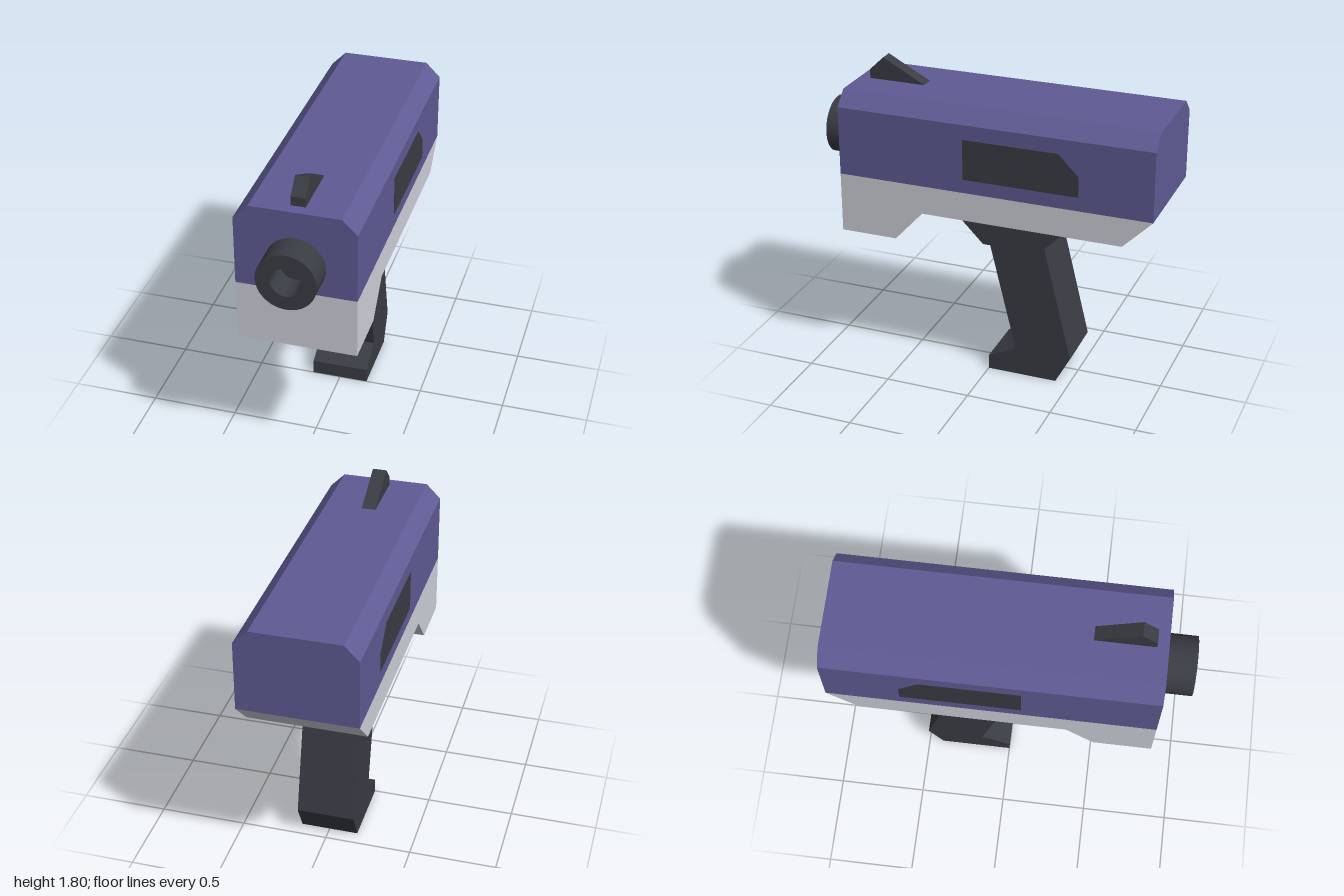
import * as THREE from 'three';
import { toCreasedNormals } from 'three/addons/utils/BufferGeometryUtils.js';

const material = (color) => new THREE.MeshStandardMaterial({ color });

// Side profile given as [z, y] points, extruded symmetrically across x
function sideExtrusion(points, width) {
  const shape = new THREE.Shape(points.map(([z, y]) => new THREE.Vector2(-z, y)));
  const geometry = new THREE.ExtrudeGeometry(shape, { depth: width, bevelEnabled: false });
  return geometry.translate(0, 0, -width / 2).rotateY(Math.PI / 2);
}

export function createModel() {
  const model = new THREE.Group();
  model.name = 'toyBlaster';
  const purple = material(0x5f5b95);
  const light = material(0xcfd1db);
  const dark = material(0x3a3c44);

  const add = (name, geometry, mat) => {
    const mesh = new THREE.Mesh(geometry, mat);
    mesh.name = name;
    model.add(mesh);
  };

  // Upper body: chamfered front outline running front to back
  const outline = [[-0.333, 1.185], [0.333, 1.185], [0.333, 1.585],
    [0.25, 1.668], [-0.25, 1.668], [-0.333, 1.585]];
  const upper = new THREE.ExtrudeGeometry(
    new THREE.Shape(outline.map(([x, y]) => new THREE.Vector2(x, y))),
    { depth: 1.833, bevelEnabled: false });
  add('upperBody', upper.translate(0, 0, -1), purple);

  // Lower frame with the deep front block and sloped rear
  add('lowerFrame', sideExtrusion([[0.833, 1.185], [0.833, 0.835], [0.5, 0.835],
    [0.333, 1.018], [-0.833, 1.018], [-1, 1.185]], 0.666), light);

  // Wide tapered collar above the grip
  add('gripCollar', sideExtrusion([[0.167, 1.018], [0, 0.85],
    [-0.333, 0.85], [-0.5, 1.018]], 0.5), dark);

  // Raked grip with a forward toe
  add('grip', sideExtrusion([[0, 0.85], [-0.167, 0.168], [0, 0.085], [0, 0],
    [-0.415, 0], [-0.5, 0.168], [-0.333, 0.85]], 0.333), dark);

  // Front sight
  add('frontSight', sideExtrusion([[0.768, 1.668], [0.768, 1.72],
    [0.685, 1.8], [0.435, 1.668]], 0.08), dark);

  // Inset panels, a hair proud of each side
  for (const side of [1, -1]) {
    const panel = sideExtrusion([[0.085, 1.265], [0.085, 1.5], [-0.465, 1.5],
      [-0.582, 1.383], [-0.582, 1.265]], 0.02);
    add(side > 0 ? 'leftPanel' : 'rightPanel', panel.translate(side * 0.325, 0, 0), dark);
  }

  // Muzzle: round barrel with a recessed bore
  const profile = [[0.165, 0], [0.165, 0.167], [0.085, 0.167], [0.085, 0.005], [0, 0.005]];
  const muzzle = new THREE.LatheGeometry(profile.map(([r, y]) => new THREE.Vector2(r, y)), 48);
  muzzle.rotateX(Math.PI / 2).translate(0, 1.35, 0.833);
  add('muzzle', toCreasedNormals(muzzle, Math.PI / 5), dark);

  return model;
}
